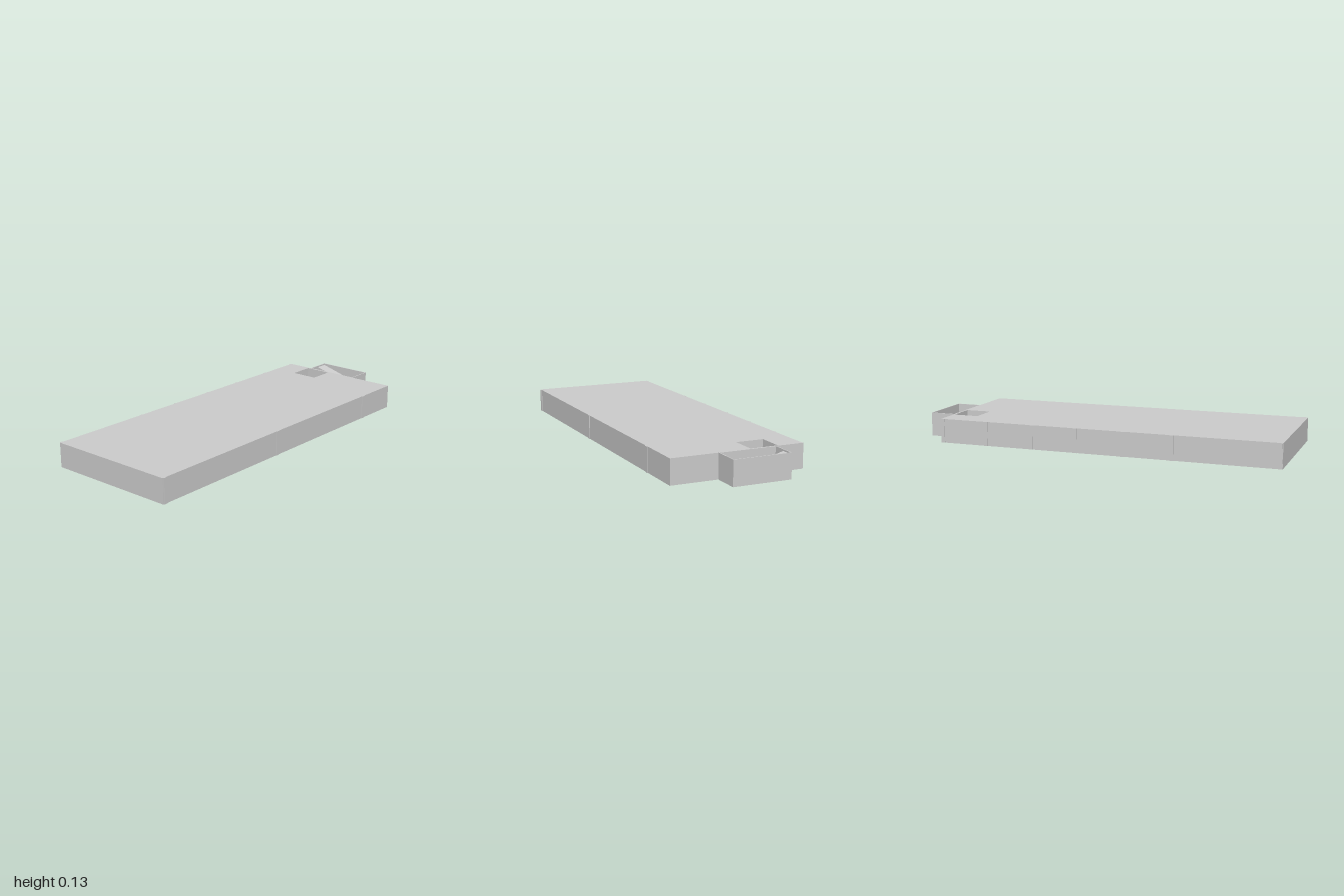
import * as THREE from 'three';

const H = 0.13, SLAB = 0.008;

export function createModel() {
  const model = new THREE.Group();
  const mat = new THREE.MeshStandardMaterial({ color: 0xcccccc, flatShading: true });

  function add(name, geometry, parent = model) {
    const mesh = new THREE.Mesh(geometry, mat);
    mesh.name = name;
    parent.add(mesh);
  }
  function box(name, x0, x1, y0, y1, z0, z1, parent = model) {
    const g = new THREE.BoxGeometry(x1 - x0, y1 - y0, z1 - z0);
    add(name, g.translate((x0 + x1) / 2, (y0 + y1) / 2, (z0 + z1) / 2), parent);
  }
  // Plans are listed as (x, z); the outline is reversed so it runs counter-clockwise in (x, -z).
  const points = (pts) => pts.map(([x, z]) => new THREE.Vector2(x, -z));
  const rect = (x0, x1, z0, z1) => [[x0, z0], [x1, z0], [x1, z1], [x0, z1]];
  function layer(name, outline, holes, y0, y1) {
    const shape = new THREE.Shape(points(outline).reverse());
    shape.holes = holes.map((h) => new THREE.Path(points(h)));
    const g = new THREE.ExtrudeGeometry(shape, { depth: y1 - y0, bevelEnabled: false });
    add(name, g.rotateX(-Math.PI / 2).translate(0, y0, 0));
  }

  // Plan of the storey with its stair annex at the +x end
  const hall = rect(-1, 0.857, -0.357, 0.356);
  const annex = rect(0.857, 1, -0.208, 0.104);
  const plan = [[-1, -0.357], [0.857, -0.357], [0.857, -0.208], [1, -0.208],
    [1, 0.104], [0.857, 0.104], [0.857, 0.356], [-1, 0.356]];
  const stairWell = rect(0.71, 0.85, -0.22, -0.07);
  const annexWell = rect(0.861, 0.995, -0.203, 0.099);
  const floorOpenings = [
    [[0.43, 0.1], [0.57, 0.1], [0.57, 0.34], [0.31, 0.34], [0.31, 0.16], [0.43, 0.16]],
    rect(-0.97, -0.87, 0.18, 0.29),
  ];

  layer('floorSlab', plan, floorOpenings, 0, SLAB);
  layer('storeyBody', plan, [stairWell, annexWell, ...floorOpenings], SLAB, H - SLAB);
  layer('roofSlab', hall, [stairWell], H - SLAB, H);
  layer('annexParapet', annex, [annexWell], H - SLAB, H);

  // Column between the two halves of the floor opening
  box('openingColumn', 0.42, 0.445, 0, H - SLAB, 0.16, 0.185);

  // Stair inside the annex: one flight up to a landing, one back up to roof level
  const stair = new THREE.Group();
  stair.name = 'annexStair';
  model.add(stair);
  const landing = 0.065;
  box('landing', 0.861, 0.995, SLAB, landing, 0, 0.099, stair);
  function flight(name, x0, x1, farHeight) {
    const side = new THREE.Shape([[0, SLAB], [0.203, SLAB], [0.203, farHeight], [0, landing]]
      .map((p) => new THREE.Vector2(...p)));
    const g = new THREE.ExtrudeGeometry(side, { depth: x1 - x0, bevelEnabled: false });
    add(name, g.rotateY(Math.PI / 2).translate(x0, 0, 0), stair);
  }
  flight('lowerFlight', 0.861, 0.928, SLAB + 0.004);
  flight('upperFlight', 0.928, 0.995, H - SLAB);

  // Slim vertical joints on the outer walls
  const joints = new THREE.Group();
  joints.name = 'wallJoints';
  model.add(joints);
  for (const x of [-0.987, -0.44, -0.18, 0.08, 0.33, 0.59, 0.847])
    box('backJoint', x - 0.01, x + 0.01, 0, H, -0.361, -0.356, joints);
  for (const x of [-0.985, -0.17, 0.6])
    box('frontJoint', x - 0.01, x + 0.01, 0, H, 0.355, 0.36, joints);

  return model;
}
